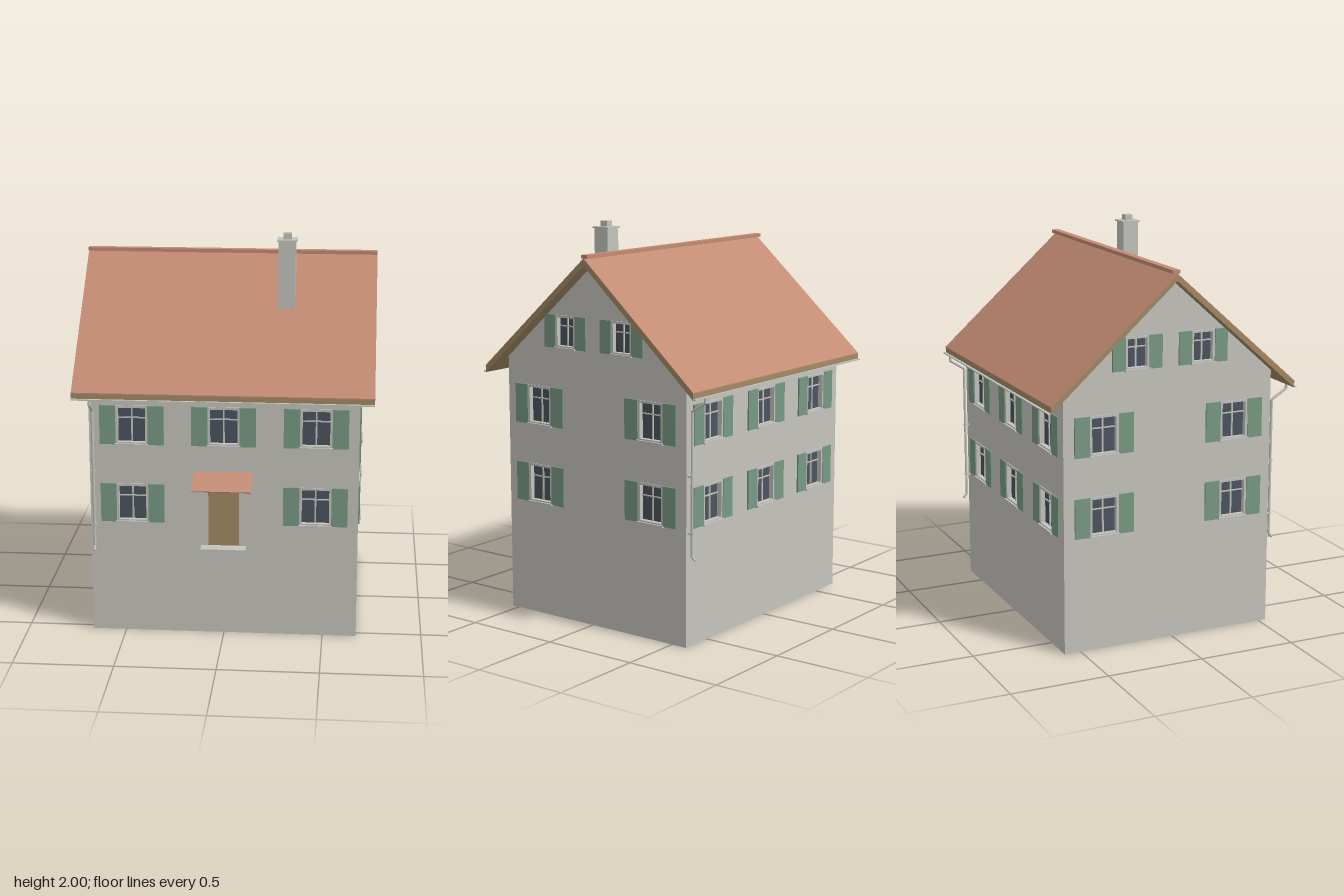
import * as THREE from 'three';

const mat = (name, color, side = THREE.FrontSide) => {
  const m = new THREE.MeshStandardMaterial({ color, side });
  m.name = name;
  return m;
};

export function createModel() {
  const plaster = mat('plaster', 0xc6c4be, THREE.DoubleSide);
  const stone = mat('light stone', 0xc4c4be);
  const tile = mat('terracotta tile', 0xc38c74, THREE.DoubleSide);
  const wood = mat('tan wood', 0xa38a65);
  const green = mat('shutter green', 0x789a84);
  const glass = mat('dark glass', 0x4c545f, THREE.DoubleSide);
  const darkWood = mat('dark bracket wood', 0x5e4a38);

  const house = new THREE.Group();
  house.name = 'house';

  const add = (parent, name, geometry, material, x = 0, y = 0, z = 0) => {
    const m = new THREE.Mesh(geometry, material);
    m.name = name;
    m.position.set(x, y, z);
    parent.add(m);
    return m;
  };
  const box = (parent, name, material, w, h, d, x, y, z) =>
    add(parent, name, new THREE.BoxGeometry(w, h, d), material, x, y, z);
  const polygon = (points) => new THREE.Shape(points.map((p) => new THREE.Vector2(...p)));
  const rect = (x0, x1, y0, y1) => polygon([[x0, y0], [x1, y0], [x1, y1], [x0, y1]]);

  // Window with recessed glass, bars, sill and two open shutters; faces local +z
  function addWindow(wall, x, y0, w, h, shutterW) {
    const g = new THREE.Group();
    g.name = 'window';
    g.position.set(x, y0, 0);
    const f = 0.012;
    const ring = rect(-w / 2, w / 2, 0, h);
    ring.holes.push(rect(-w / 2 + f, w / 2 - f, f, h - f));
    add(g, 'windowFrame', new THREE.ExtrudeGeometry(ring, { depth: 0.03, bevelEnabled: false }), stone, 0, 0, -0.025);
    add(g, 'windowGlass', new THREE.PlaneGeometry(w - f, h - f), glass, 0, h / 2, -0.02);
    box(g, 'verticalBar', stone, 0.008, h - f, 0.006, 0, h / 2, -0.017);
    box(g, 'crossBar', stone, w - f, 0.006, 0.006, 0, h * 0.67, -0.017);
    box(g, 'windowSill', stone, w + 0.008, 0.01, 0.022, 0, 0, 0.004);
    for (const s of [-1, 1])
      box(g, 'shutter', green, shutterW, h, 0.008, s * (w + shutterW) / 2, h / 2, 0.004);
    wall.add(g);
  }

  // Wall with real openings, its windows placed in wall coordinates
  function addWall(name, outline, windows, doors, position, turn) {
    const wall = new THREE.Group();
    wall.name = name;
    const shape = polygon(outline);
    for (const [x, y, w, h] of windows) shape.holes.push(rect(x - w / 2, x + w / 2, y, y + h));
    for (const [x, y, w, h] of doors) shape.holes.push(rect(x - w / 2, x + w / 2, y, y + h));
    add(wall, name + 'Surface', new THREE.ShapeGeometry(shape), plaster);
    for (const win of windows) addWindow(wall, ...win);
    wall.position.set(...position);
    wall.rotation.y = turn;
    house.add(wall);
  }

  const UPPER = 0.99, LOWER = 0.585, W = 0.16, H = 0.2, S = 0.08;
  const front = 0.54, back = -0.585, half = 0.67, ridgeZ = -0.02;
  const longOutline = [[-half, 0], [half, 0], [half, 1.335], [-half, 1.335]];

  // Long walls
  const upperRow = [-0.457, 0, 0.457].map((x) => [x, UPPER, W, H, S]);
  const sides = [-0.457, 0.457].map((x) => [x, LOWER, W, H, S]);
  addWall('frontWall', longOutline, [...upperRow, ...sides], [[0, 0.465, 0.155, 0.31]], [0, 0, front], 0);
  addWall('backWall', longOutline, [...upperRow, ...sides, [0, LOWER, W, H, S]], [], [0, 0, back], Math.PI);

  // Gable walls, mirrored
  for (const s of [1, -1]) {
    const u = (z) => -s * z;
    const outline = [[u(front), 0], [u(back), 0], [u(back), 1.335], [u(ridgeZ), 1.838], [u(front), 1.335]];
    const windows = [];
    for (const z of [0.333, -0.372])
      for (const y of [UPPER, LOWER]) windows.push([u(z), y, 0.152, H, S]);
    for (const z of [0.157, -0.197]) windows.push([u(z), 1.395, 0.126, 0.165, 0.069]);
    addWall(s > 0 ? 'leftGable' : 'rightGable', outline, windows, [], [s * half, 0, 0], s * Math.PI / 2);
  }

  // Roof: wooden deck below, thin tile layer above
  function addRoofLayer(name, material, top, thickness) {
    const e = 0.655, drop = 0.584;
    const shape = polygon([[-e, top - drop], [-e, top - drop - thickness], [0, top - thickness],
      [e, top - drop - thickness], [e, top - drop], [0, top]]);
    const geo = new THREE.ExtrudeGeometry(shape, { depth: 1.48, bevelEnabled: false });
    geo.rotateY(Math.PI / 2);
    add(house, name, geo, material, -0.74, 0, ridgeZ);
  }
  addRoofLayer('roofDeck', wood, 1.854, 0.032);
  addRoofLayer('roofTiles', tile, 1.859, 0.005);
  box(house, 'ridgeCap', tile, 1.48, 0.018, 0.038, 0, 1.866, -0.025);

  // Gutters and downpipes, one for each eave at opposite corners
  for (const s of [1, -1]) {
    const eave = ridgeZ + s * 0.662;
    const wallZ = s > 0 ? front : back;
    const x = -s * 0.65;
    const pz = wallZ + s * 0.02;
    box(house, 'gutter', stone, 1.48, 0.006, 0.014, 0, 1.242, eave);
    const path = new THREE.CurvePath();
    const pts = [[1.24, eave], [1.215, eave], [1.165, pz], [0.46, pz], [0.442, pz + s * 0.016]]
      .map(([y, z]) => new THREE.Vector3(x, y, z));
    for (let i = 1; i < pts.length; i++) path.add(new THREE.LineCurve3(pts[i - 1], pts[i]));
    pts.slice(1).forEach((p, i) => {
      const line = new THREE.LineCurve3(pts[i], p);
      add(house, 'downpipe', new THREE.TubeGeometry(line, 1, 0.007, 8), stone);
      add(house, 'pipeJoint', new THREE.SphereGeometry(0.007, 8, 6), stone, p.x, p.y, p.z);
    });
    for (const y of [0.57, 0.85])
      box(house, 'pipeClip', stone, 0.018, 0.008, 0.028, x, y, wallZ + s * 0.014);
  }

  // Chimney
  box(house, 'chimneyStack', stone, 0.085, 0.42, 0.085, 0.292, 1.755, 0.202);
  box(house, 'chimneyCap', stone, 0.1, 0.008, 0.1, 0.292, 1.967, 0.202);
  box(house, 'chimneyPot', stone, 0.042, 0.03, 0.042, 0.292, 1.985, 0.202);

  // Door, step and sloping canopy on two struts
  box(house, 'door', wood, 0.155, 0.31, 0.012, 0, 0.62, front - 0.008);
  box(house, 'doorStep', stone, 0.226, 0.024, 0.065, 0, 0.457, front + 0.031);
  const canopy = box(house, 'doorCanopy', tile, 0.296, 0.004, 0.164, 0, 0.829, front + 0.077);
  canopy.rotation.x = Math.atan2(0.053, 0.155);
  for (const s of [-1, 1]) {
    const strut = box(house, 'canopyStrut', wood, 0.012, 0.011, 0.15, s * 0.133, 0.785, front + 0.072);
    strut.rotation.x = -Math.atan2(0.03, 0.145);
    box(house, 'strutFoot', darkWood, 0.012, 0.024, 0.008, s * 0.133, 0.775, front + 0.004);
  }

  return house;
}
